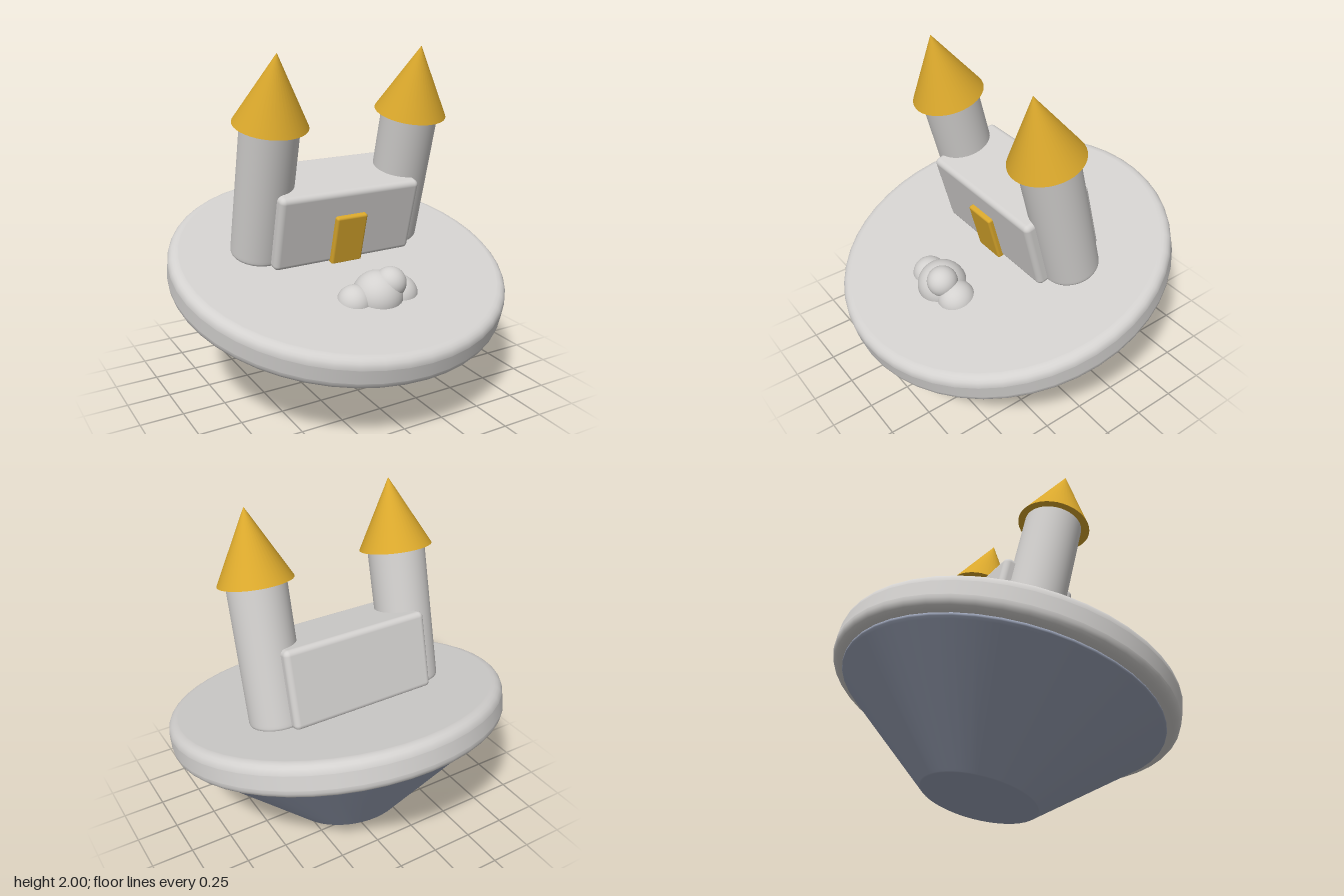
import * as THREE from 'three';
import { RoundedBoxGeometry } from 'three/addons/geometries/RoundedBoxGeometry.js';

const TILT = 0.25; // the whole island leans forward

const stone = new THREE.MeshStandardMaterial({ name: 'pale stone', color: 0xd3d1cf });
const gold = new THREE.MeshStandardMaterial({ name: 'gold', color: 0xdaa82c });
const rock = new THREE.MeshStandardMaterial({ name: 'blue grey rock', color: 0x9aa2b6 });

// Solid of revolution with rounded rims; radii may differ at bottom and top
function roundedDrum(rBottom, rTop, y0, y1, bevel, segments) {
  const slope = Math.atan2(rTop - rBottom, y1 - y0);
  const pts = [new THREE.Vector2(0, y0)];
  const arc = (r, y, from, to) => {
    // centre of the rim circle, tangent to the flat end and to the side wall
    const half = (to - from) / 2;
    const cx = r - bevel * Math.tan(half);
    for (let i = 0; i <= 5; i++) {
      const a = from + ((to - from) * i) / 5;
      pts.push(new THREE.Vector2(cx + bevel * Math.cos(a), y + bevel * Math.sin(a)));
    }
  };
  const flat = (r, y) => pts.push(new THREE.Vector2(r, y));
  flat(rBottom - bevel * 1.2, y0);
  arc(rBottom, y0 + bevel, -Math.PI / 2, -slope);
  const a = pts[pts.length - 1].clone();
  const mark = pts.length;
  arc(rTop, y1 - bevel, -slope, Math.PI / 2);
  const b = pts[mark].clone();
  // extra points keep the side wall straight in shading
  pts.splice(mark, 0, a.clone().lerp(b, 0.02), a.clone().lerp(b, 0.98));
  const last = pts[pts.length - 1];
  flat(last.x - 0.005, y1);
  flat(0, y1);
  return new THREE.LatheGeometry(pts, segments);
}

export function createModel() {
  const model = new THREE.Group();
  model.name = 'floatingCastle';
  const island = new THREE.Group();
  island.name = 'tiltedIsland';
  island.rotation.x = TILT;
  model.add(island);

  const add = (name, geometry, material, x, y, z) => {
    const mesh = new THREE.Mesh(geometry, material);
    mesh.name = name;
    mesh.position.set(x, y, z);
    island.add(mesh);
    return mesh;
  };

  // Island: round slab on a tapering rock
  const cz = -0.172;
  add('rockBase', roundedDrum(0.325, 0.95, 0.035, 0.59, 0.012, 48), rock, 0, 0, cz);
  add('islandSlab', roundedDrum(1, 1, 0.585, 0.78, 0.055, 48), stone, 0, 0, cz);

  // Castle keep and door
  const kz = -0.333;
  add('keep', new RoundedBoxGeometry(0.9, 0.46, 0.45, 4, 0.032), stone, 0, 1.0, kz);
  add('door', new RoundedBoxGeometry(0.2, 0.31, 0.06, 3, 0.014), gold, 0, 0.925, -0.108);

  // Towers with cone roofs, mirrored
  for (const [side, s] of [['left', 1], ['right', -1]]) {
    add(side + 'Tower', roundedDrum(0.166, 0.166, 0.77, 1.61, 0.025, 40), stone, s * 0.45, 0, kz);
    add(side + 'Roof', new THREE.ConeGeometry(0.21, 0.395, 40), gold, s * 0.45, 1.781, kz + 0.004);
  }

  // Small cloud of overlapping puffs resting on the slab
  const puffs = [
    [0, 0.77, 0.272, 0.145],
    [-0.145, 0.755, 0.27, 0.1],
    [0.14, 0.75, 0.272, 0.112],
    [0.06, 0.855, 0.288, 0.09],
  ];
  puffs.forEach(([x, y, z, r], i) =>
    add('cloudPuff' + (i + 1), new THREE.SphereGeometry(r, 32, 20), stone, x, y, z));

  return model;
}
